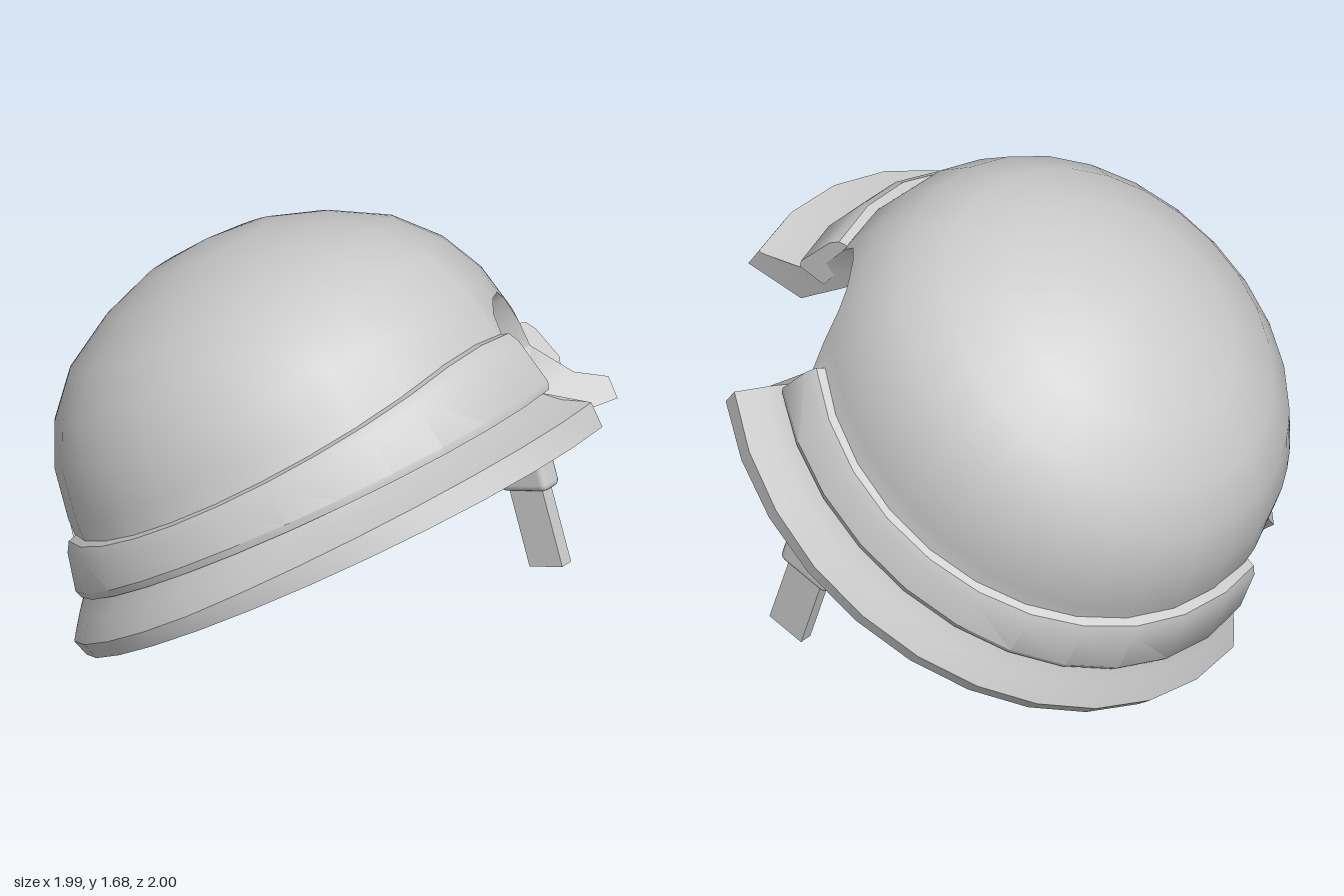
import * as THREE from 'three';
import { toCreasedNormals } from 'three/addons/utils/BufferGeometryUtils.js';
import { RoundedBoxGeometry } from 'three/addons/geometries/RoundedBoxGeometry.js';

const material = new THREE.MeshStandardMaterial({ color: 0xcccccc, side: THREE.DoubleSide });
const WIDTH = 0.925; // the helmet is slightly narrower than it is long
const { degToRad, clamp } = THREE.MathUtils;

// Point at an angle (degrees from the front towards the left side)
function ringPoint(deg, r, v, shift) {
  const a = degToRad(deg);
  return new THREE.Vector3(Math.sin(a) * r * WIDTH, v, Math.cos(a) * r + shift);
}

// Join neighbouring cross-sections, leaving out collapsed triangles
function skin(columns, { closedRing = false, closedProfile = false, caps = false }) {
  const pos = [];
  const tri = (a, b, c) => {
    const area = b.clone().sub(a).cross(c.clone().sub(a)).length();
    if (area > 1e-7) for (const p of [a, b, c]) pos.push(p.x, p.y, p.z);
  };
  const n = columns.length, m = columns[0].length;
  for (let i = 0; i < (closedRing ? n : n - 1); i++) {
    const p = columns[i], q = columns[(i + 1) % n];
    for (let j = 0; j < (closedProfile ? m : m - 1); j++) {
      const k = (j + 1) % m;
      tri(p[j], p[k], q[k]);
      tri(p[j], q[k], q[j]);
    }
  }
  if (caps) {
    for (let j = 1; j < m - 1; j++) {
      tri(columns[0][0], columns[0][j + 1], columns[0][j]);
      tri(columns[n - 1][0], columns[n - 1][j], columns[n - 1][j + 1]);
    }
  }
  const g = new THREE.BufferGeometry();
  g.setAttribute('position', new THREE.Float32BufferAttribute(pos, 3));
  return toCreasedNormals(g, 0.6);
}

// Radius of a profile at height v
function radiusAt(profile, v) {
  for (let i = 0; i < profile.length - 1; i++) {
    const [r0, v0] = profile[i], [r1, v1] = profile[i + 1];
    if (v <= v0 && v >= v1) return r0 + (r1 - r0) * (v0 - v) / (v0 - v1);
  }
  return profile[profile.length - 1][0];
}

// Profiles [radius, height] from the crown down; the rim is fuller at the sides and back
function outerProfile(deg) {
  const full = clamp(1 - Math.cos(degToRad(deg)), 0, 1);
  return [[0, 1.13], [0.25, 1.1], [0.45, 1.03], [0.645, 0.92], [0.775, 0.78], [0.85, 0.63],
    [0.885, 0.45], [0.89, 0.3], [0.9 + 0.055 * full, 0.195], [0.98 + 0.03 * full, 0.14],
    [1.08, 0.095 - 0.035 * full], [1.067, 0]];
}

function innerProfile(deg) {
  return [[0, 1.03], [0.25, 1], [0.44, 0.92], [0.61, 0.79], [0.71, 0.62], [0.76, 0.4],
    [0.82, 0.045 - 0.035 * Math.cos(degToRad(deg))]];
}

// The dome sits further back than the rim, inside more so than outside
const outerShift = (v) => -0.04 * clamp(v / 0.3, 0, 1);
const innerShift = (v) => 0.03 - 0.25 * clamp(v, 0, 0.4);

// Broken openings: [angle, height of the shell's lower edge]
const frontGap = [[17.6, 0], [17.9, 0.1], [18.4, 0.2], [19.3, 0.42], [22, 0.5], [28, 0.54], [36, 0.54],
  [41, 0.5], [46, 0.4], [50, 0.3], [51, 0.15], [51.6, 0]];
const backGap = [[191.3, 0], [192.3, 0.1], [194.3, 0.25], [197, 0.36], [207, 0.54], [213.5, 0.55],
  [218, 0.44], [220.5, 0.2], [222.3, 0.1], [223.3, 0]];

function between(a, b, steps) {
  return Array.from({ length: steps - 1 }, (_, i) => [a + (b - a) * (i + 1) / steps, 0]);
}

function makeShell() {
  const edge = [...frontGap, ...between(51.6, 191.3, 11), ...backGap, ...between(223.3, 377.6, 12)];
  const columns = edge.map(([deg, low]) => {
    const line = (profile, shift) => profile.map(([, v]) => {
      const h = Math.max(v, low);
      return ringPoint(deg, radiusAt(profile, h), h, shift(h));
    });
    return [...line(outerProfile(deg), outerShift), ...line(innerProfile(deg), innerShift).reverse()];
  });
  return skin(columns, { closedRing: true });
}

// Raised strip around the dome: [radius, height, drop of the upper edge at the sides]
const bandProfile = [[0.865, 0.468, 0.1], [0.918, 0.455, 0.1], [0.94, 0.42, 0.1],
  [0.975, 0.215, 0], [0.965, 0.188, 0], [0.86, 0.185, 0], [0.84, 0.45, 0.1]];

function makeBand(from, to, steps) {
  const columns = Array.from({ length: steps + 1 }, (_, i) => {
    const deg = from + (to - from) * i / steps;
    const side = Math.abs(Math.sin(degToRad(deg)));
    return bandProfile.map(([r, v, drop]) => ringPoint(deg, r, v - drop * side, -0.04));
  });
  return skin(columns, { closedProfile: true, caps: true });
}

export function createModel() {
  const model = new THREE.Group();
  const add = (parent, name, geometry) => {
    const mesh = new THREE.Mesh(geometry, material);
    mesh.name = name;
    parent.add(mesh);
    return mesh;
  };

  // Helmet leaning back on its rear rim
  const helmet = new THREE.Group();
  helmet.name = 'helmet';
  helmet.position.set(0, 0.58, 0.105);
  helmet.rotation.x = -0.576;
  add(helmet, 'shell', makeShell());
  add(helmet, 'leftBand', makeBand(52.5, 193.5, 11));
  add(helmet, 'rightBand', makeBand(225, 378.6, 12));
  model.add(helmet);

  // Hanging chin strap with its buckle
  const strap = new THREE.Group();
  strap.name = 'chinStrap';
  strap.position.set(0.815, 0.525, 0.218);
  strap.rotation.x = -0.31;
  add(strap, 'strapTop', new THREE.BoxGeometry(0.05, 0.18, 0.14)).position.y = 0.06;
  add(strap, 'buckle', new RoundedBoxGeometry(0.09, 0.2, 0.22, 2, 0.025));
  add(strap, 'strapEnd', new THREE.BoxGeometry(0.05, 0.33, 0.15)).position.y = -0.22;
  model.add(strap);

  return model;
}
